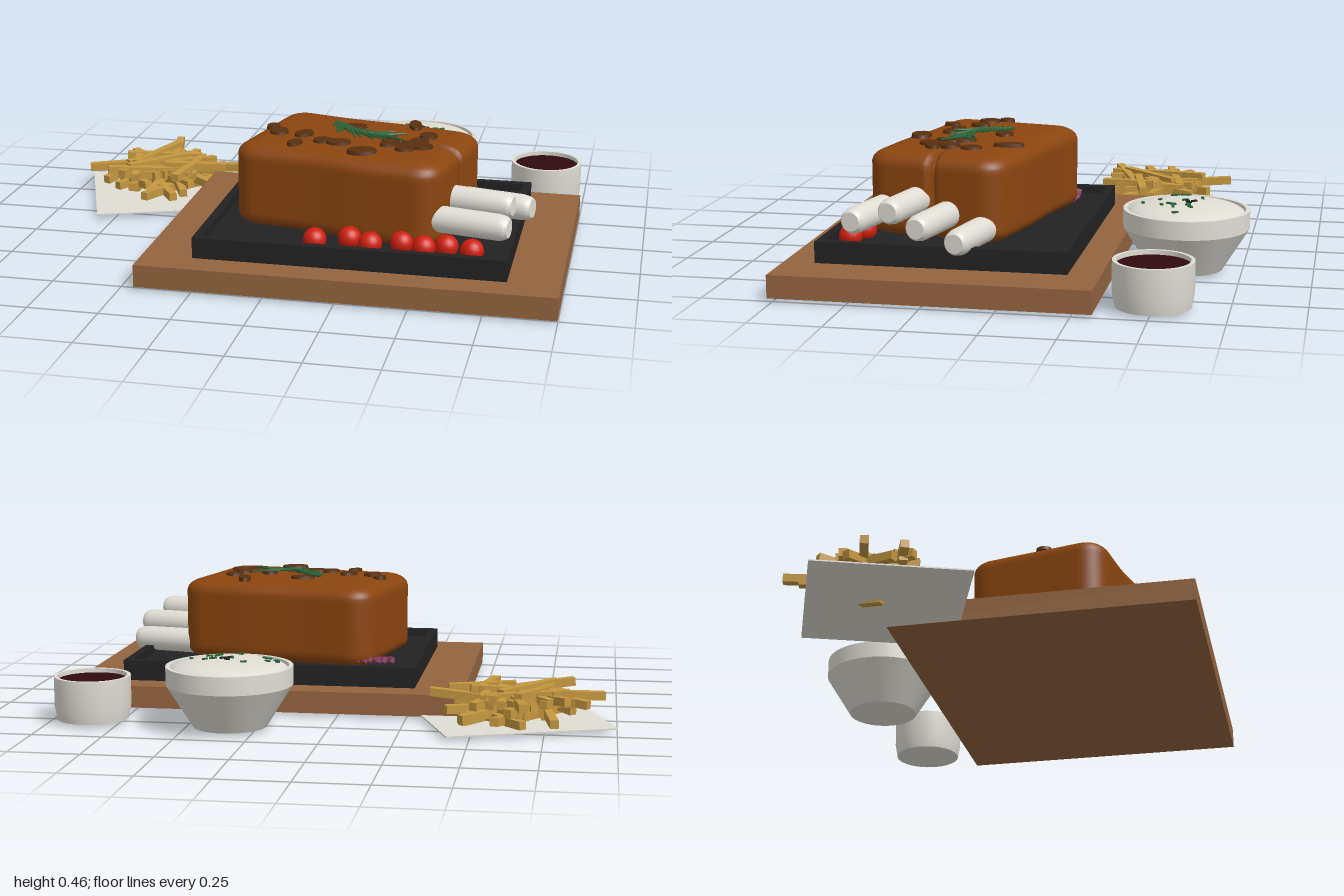
import * as THREE from 'three';
import { mergeVertices, toCreasedNormals } from 'three/addons/utils/BufferGeometryUtils.js';

const paint = (name, color) => Object.assign(new THREE.MeshStandardMaterial({ color }), { name });
const V = (x, y, z) => new THREE.Vector3(x, y, z);

export function createModel() {
  const root = new THREE.Group();
  root.name = 'dinnerBoard';
  const wood = paint('wood', 0x93643f);
  const slate = paint('slate', 0x222222);
  const roast = paint('roast', 0x8b450f);
  const white = paint('ivory', 0xe0ddd4);
  const potato = paint('friedPotato', 0xc4973f);
  const red = paint('tomatoRed', 0xcf1f0e);
  const wine = paint('darkSauce', 0x300a10);
  const brown = paint('mushroomBrown', 0x58300f);
  const green = paint('herbGreen', 0x2c6638);
  const purple = paint('onionPurple', 0x84405f);

  // Small repeatable random source
  let seed = 11;
  const rnd = (a, b) => {
    seed = (seed * 16807) % 2147483647;
    return a + (b - a) * (seed / 2147483647);
  };
  const add = (name, geo, mat, x = 0, y = 0, z = 0, parent = root) => {
    const m = new THREE.Mesh(geo, mat);
    m.name = name;
    m.position.set(x, y, z);
    parent.add(m);
    return m;
  };
  const group = (name) => {
    const g = new THREE.Group();
    g.name = name;
    root.add(g);
    return g;
  };
  // Tapered rod between two points
  const rod = (name, a, b, r0, r1, sides, mat, parent) => {
    const d = b.clone().sub(a);
    const m = add(name, new THREE.CylinderGeometry(r1, r0, d.length(), sides), mat, 0, 0, 0, parent);
    m.position.copy(a).addScaledVector(d, 0.5);
    m.quaternion.setFromUnitVectors(V(0, 1, 0), d.normalize());
    return m;
  };
  const lathe = (pts, sides = 48) =>
    toCreasedNormals(new THREE.LatheGeometry(pts.map((p) => new THREE.Vector2(...p)), sides), 0.5);

  // Wooden board
  add('board', new THREE.BoxGeometry(1.45, 0.08, 1.09), wood, 0.275, 0.05, 0.225);

  // Slate tray with a raised rim
  const tray = group('tray');
  add('trayFloor', new THREE.BoxGeometry(1.06, 0.045, 0.84), slate, 0.275, 0.1125, 0.225, tray);
  const rect = (T, w, h) => {
    const s = new T();
    s.moveTo(-w, -h);
    s.lineTo(w, -h);
    s.lineTo(w, h);
    s.lineTo(-w, h);
    s.closePath();
    return s;
  };
  const rimShape = rect(THREE.Shape, 0.545, 0.435);
  rimShape.holes.push(rect(THREE.Path, 0.515, 0.405));
  const rimGeo = new THREE.ExtrudeGeometry(rimShape, { depth: 0.075, bevelEnabled: false });
  rimGeo.rotateX(-Math.PI / 2);
  add('trayRim', rimGeo, slate, 0.275, 0.09, 0.225, tray);

  // Roast: box rounded by rule, with a seam cut into its right end
  const yaw = -0.21;
  const meat = group('roast');
  meat.position.set(0.235, 0, 0.225);
  meat.rotation.y = yaw;
  const half = V(0.385, 0.29, 0.265), r = 0.09, squash = 0.155 / 0.29;
  let body = new THREE.BoxGeometry(half.x * 2, half.y * 2, half.z * 2, 36, 20, 48);
  body.deleteAttribute('uv');
  body.deleteAttribute('normal');
  body = mergeVertices(body);
  const pos = body.attributes.position;
  const inner = half.clone().subScalar(r);
  for (let i = 0; i < pos.count; i++) {
    const p = V(0, 0, 0).fromBufferAttribute(pos, i);
    const core = p.clone().clamp(inner.clone().negate(), inner);
    p.sub(core).normalize().multiplyScalar(r).add(core);
    p.y *= squash;
    const seam = Math.exp(-((p.z / 0.011) ** 2)) * THREE.MathUtils.smoothstep(p.x, 0.12, 0.38);
    p.x -= 0.05 * seam;
    if (p.y > 0) p.y -= 0.04 * seam;
    p.z += 0.004 * Math.sin(p.x * 14) * Math.sign(p.z);
    pos.setXYZ(i, p.x, p.y, p.z);
  }
  body.computeVertexNormals();
  add('roastBody', body, roast, 0, 0.283, 0, meat);

  // Rib bones with bevelled ends
  const boneGeo = lathe([[0, 0], [0.042, 0], [0.047, 0.1], [0.046, 0.3], [0.042, 0.322], [0.033, 0.335], [0, 0.335]], 20);
  boneGeo.rotateZ(-Math.PI / 2);
  const bones = group('ribBones');
  [[0.81, 0.235, 0.535], [0.81, 0.272, 0.405], [0.865, 0.232, 0.295], [0.86, 0.187, 0.165]].forEach(([x, y, z]) => {
    const b = add('ribBone', boneGeo, white, x - 0.335 * Math.cos(yaw), y, z + 0.335 * Math.sin(yaw), bones);
    b.rotation.y = yaw;
  });

  // Mushroom slices on the roast: x, z, radii, turn
  const slices = group('mushroomSlices');
  [[-0.09, 0.18, 0.025, 0.03, 0], [-0.055, 0.24, 0.035, 0.04, 0.3], [0.04, 0.255, 0.03, 0.042, -0.5],
    [0.03, 0.365, 0.024, 0.034, -0.5], [0.2, 0.13, 0.048, 0.034, 0.3], [0.415, 0.07, 0.024, 0.056, 0.2],
    [0.48, 0.19, 0.034, 0.04, 0], [0.46, 0.27, 0.034, 0.038, 0.4], [0.28, 0.42, 0.054, 0.038, 0.2],
    [0.36, 0.305, 0.03, 0.048, -0.5], [0.42, 0.355, 0.035, 0.04, -0.5], [0.48, 0.33, 0.038, 0.026, 0.4],
    [0.18, 0.33, 0.046, 0.036, 0.1], [0.12, 0.32, 0.035, 0.03, 0.5], [0.35, 0.25, 0.03, 0.05, 0.2],
    [0.43, 0.3, 0.034, 0.026, 0.3]].forEach(([x, z, a, b, turn], i) => {
    const s = add('mushroomSlice', new THREE.CylinderGeometry(0.92, 1, 1, 18), brown, x, 0.44 + (i % 3) * 0.001, z, slices);
    s.scale.set(a, 0.014, b);
    s.rotation.y = turn;
  });

  // Herb sprig: curved stem with paired needles
  const sprig = group('herbSprig');
  const stem = new THREE.CatmullRomCurve3([V(0.13, 0.452, 0.11), V(0.18, 0.455, 0.19), V(0.25, 0.455, 0.24), V(0.35, 0.452, 0.25)]);
  add('herbStem', new THREE.TubeGeometry(stem, 16, 0.005, 6), green, 0, 0, 0, sprig);
  for (let i = 0; i < 15; i++) {
    const a = stem.getPoint(i / 15);
    const t = stem.getTangent(i / 15);
    for (const side of [-1, 1]) {
      const len = rnd(0.05, 0.09), w = side * rnd(0.35, 0.7);
      const b = a.clone().add(V(t.x - t.z * w, rnd(-0.05, 0.06), t.z + t.x * w).multiplyScalar(len));
      rod('herbNeedle', a, b, 0.006, 0.003, 5, green, sprig);
    }
  }

  // Cherry tomatoes along the front
  const tomatoes = group('tomatoes');
  const ball = new THREE.SphereGeometry(0.041, 20, 14);
  [[0.145, 0.57], [0.26, 0.53], [0.34, 0.57], [0.445, 0.54], [0.525, 0.57], [0.6, 0.545], [0.69, 0.57]]
    .forEach(([x, z]) => add('tomato', ball, red, x, 0.16, z, tomatoes));

  // Pickled onion strands at the back corner
  const onions = group('onionStrands');
  for (let i = 0; i < 9; i++) {
    const x = -0.17 + i * 0.017, lean = rnd(-0.05, 0.05);
    const path = new THREE.CatmullRomCurve3([V(-0.11 + lean * 0.4, 0.148, 0), V(x + lean * 0.3, 0.165, -0.05), V(x + lean * 0.4, 0.155, -0.1 + rnd(-0.01, 0.03))]);
    add('onionStrand', new THREE.TubeGeometry(path, 8, 0.01, 6), purple, 0, 0, 0, onions);
  }

  // Paper sheet and heap of fries
  add('paper', new THREE.BoxGeometry(0.617, 0.005, 0.545), white, -0.62, 0.0135, -0.28).rotation.y = 0.35;
  const fries = group('fries');
  const fry = (x, y, z, len, turn, tilt) => {
    const f = add('fry', new THREE.BoxGeometry(len, 0.03, 0.03), potato, x, y, z, fries);
    f.rotation.set(0, turn, tilt, 'YXZ');
  };
  fry(-0.62, 0.034, -0.42, 0.3, 1.3, 0.13);
  for (let i = 0; i < 50; i++) {
    const level = i / 50, a = rnd(0, Math.PI * 2), d = Math.sqrt(rnd(0, 1)) * (0.19 - 0.06 * level);
    fry(-0.65 + Math.cos(a) * d, 0.04 + level * 0.085, -0.29 + Math.sin(a) * d, rnd(0.19, 0.32), rnd(0, Math.PI), rnd(-0.1, 0.1));
  }
  fry(-0.85, 0.1, -0.29, 0.22, 0.3, 0.05);
  fry(-0.66, 0.11, -0.5, 0.26, 1.75, 0.05);
  fry(-0.45, 0.1, -0.35, 0.22, -0.1, 0.08);

  // Bowl with a domed creamy filling and herb flecks
  const bowl = group('bowl');
  bowl.position.set(0.342, 0, -0.553);
  add('bowlShell', lathe([[0, 0.01], [0.13, 0.01], [0.223, 0.16], [0.223, 0.225], [0.208, 0.225], [0.204, 0.19], [0, 0.19]]), white, 0, 0, 0, bowl);
  const domeY = (d) => 0.208 + 0.042 * Math.sqrt(Math.max(0, 1 - (d / 0.206) ** 2));
  const dome = [];
  for (let i = 0; i <= 12; i++) {
    const d = 0.206 * Math.cos((i / 12) * Math.PI / 2);
    dome.push([d, domeY(d)]);
  }
  add('creamyFilling', lathe(dome), white, 0, 0, 0, bowl);
  for (let i = 0; i < 22; i++) {
    const a = rnd(0, 6.28), d = i < 6 ? rnd(0, 0.035) : rnd(0.05, 0.18);
    const f = add('herbFleck', new THREE.BoxGeometry(rnd(0.01, 0.025), 0.006, 0.01), i < 5 ? slate : green,
      Math.cos(a) * d, domeY(d) + 0.002, Math.sin(a) * d, bowl);
    f.rotation.y = rnd(0, 3);
  }

  // Sauce cup
  const cup = group('sauceCup');
  cup.position.set(0.853, 0, -0.5);
  add('cupShell', lathe([[0, 0.01], [0.127, 0.01], [0.136, 0.06], [0.136, 0.165], [0.123, 0.165], [0.123, 0.14], [0, 0.14]]), white, 0, 0, 0, cup);
  add('sauce', new THREE.CylinderGeometry(0.123, 0.123, 0.008, 40), wine, 0, 0.146, 0, cup);

  return root;
}
